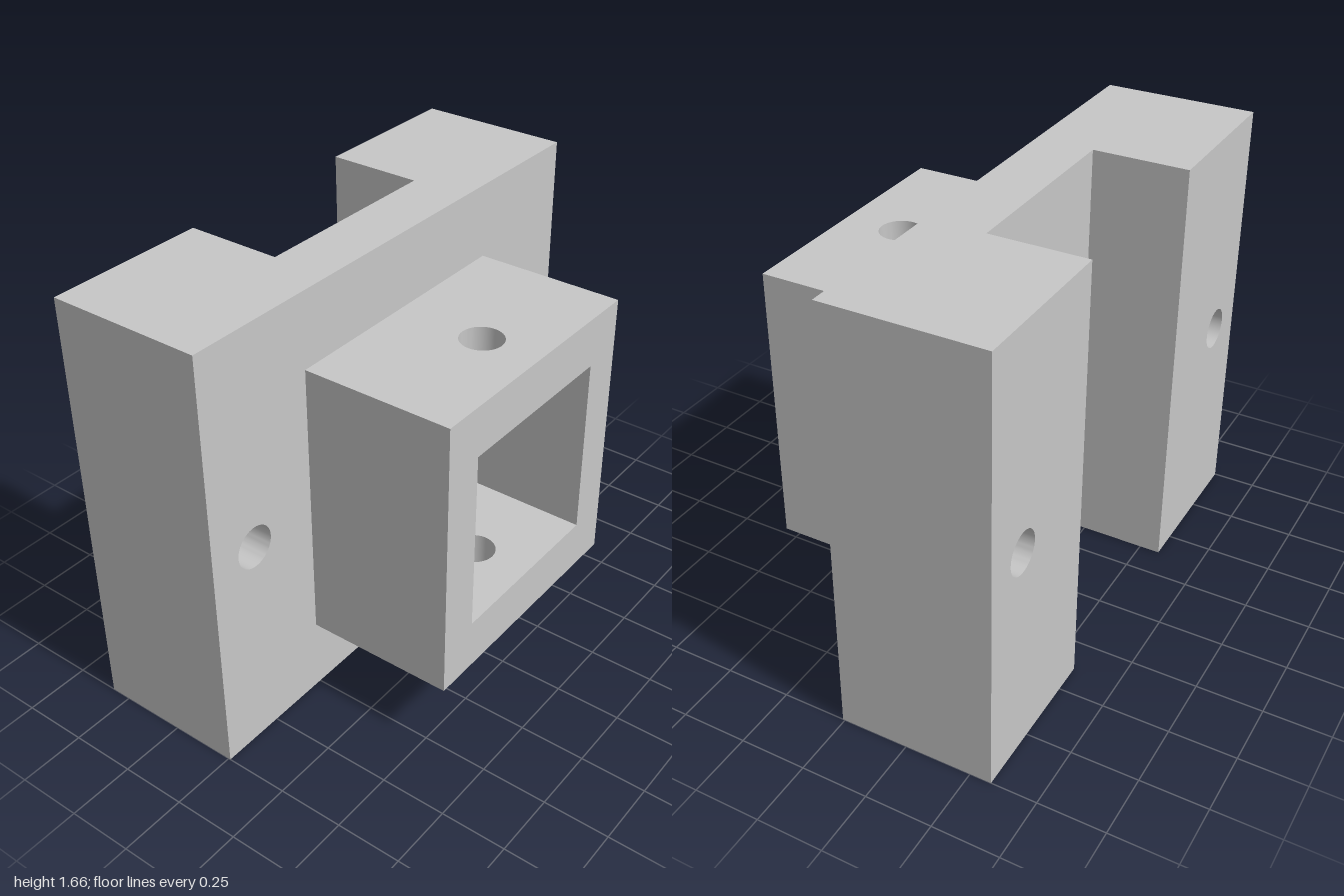
import * as THREE from 'three';
import { toCreasedNormals } from 'three/addons/utils/BufferGeometryUtils.js';

const HEIGHT = 1.657, MID_Y = HEIGHT / 2;
const BACK = -0.58, FACE = 0.008, FRONT = 0.58;   // plate back, plate face, socket rim
const GROOVE_X = 0.382, GROOVE_Z = -0.215;
const HOLE_R = 0.08;

// Rectangular panel centred in x and y, extruded along +z, with one round hole
function drilledPanel(w, h, depth, holeX, holeY) {
  const shape = new THREE.Shape([
    new THREE.Vector2(-w / 2, -h / 2), new THREE.Vector2(w / 2, -h / 2),
    new THREE.Vector2(w / 2, h / 2), new THREE.Vector2(-w / 2, h / 2),
  ]);
  const hole = new THREE.Path();
  hole.absarc(holeX, holeY, HOLE_R, 0, Math.PI * 2, true);
  shape.holes.push(hole);
  const geo = new THREE.ExtrudeGeometry(shape, { depth, bevelEnabled: false, curveSegments: 24 });
  return toCreasedNormals(geo, 0.5);
}

export function createModel() {
  const model = new THREE.Group();
  model.name = 'mountingBracket';
  const grey = new THREE.MeshStandardMaterial({ color: 0xc7c7c7 });
  grey.name = 'lightGrey';

  const add = (parent, name, geo, x, y, z) => {
    const mesh = new THREE.Mesh(geo, grey);
    mesh.name = name;
    mesh.position.set(x, y, z);
    parent.add(mesh);
  };

  // Back plate: two thick drilled blocks joined by a thin web, leaving a groove behind
  const plate = new THREE.Group();
  plate.name = 'backPlate';
  model.add(plate);
  const blockW = 1 - GROOVE_X, blockX = (1 + GROOVE_X) / 2;
  for (const [side, s] of [['left', 1], ['right', -1]]) {
    add(plate, side + 'Block', drilledPanel(blockW, HEIGHT, FACE - BACK, s * (0.8 - blockX), 0),
      s * blockX, MID_Y, BACK);
  }
  add(plate, 'web', new THREE.BoxGeometry(GROOVE_X * 2, HEIGHT, FACE - GROOVE_Z),
    0, MID_Y, (FACE + GROOVE_Z) / 2);

  // Socket: square tube on the plate face, with a pin hole through top and bottom
  const socket = new THREE.Group();
  socket.name = 'socket';
  model.add(socket);
  const outerX = 0.511, outerY = 0.543, inner = 0.35;
  const depth = FRONT - FACE, midZ = (FRONT + FACE) / 2;
  const lid = drilledPanel(outerX * 2, depth, outerY - inner, 0, midZ - 0.35);
  lid.rotateX(-Math.PI / 2);
  add(socket, 'topWall', lid, 0, MID_Y + inner, midZ);
  add(socket, 'bottomWall', lid, 0, MID_Y - outerY, midZ);
  const wall = new THREE.BoxGeometry(outerX - inner, inner * 2, depth);
  for (const [side, s] of [['left', 1], ['right', -1]]) {
    add(socket, side + 'Wall', wall, s * (outerX + inner) / 2, MID_Y, midZ);
  }
  return model;
}
